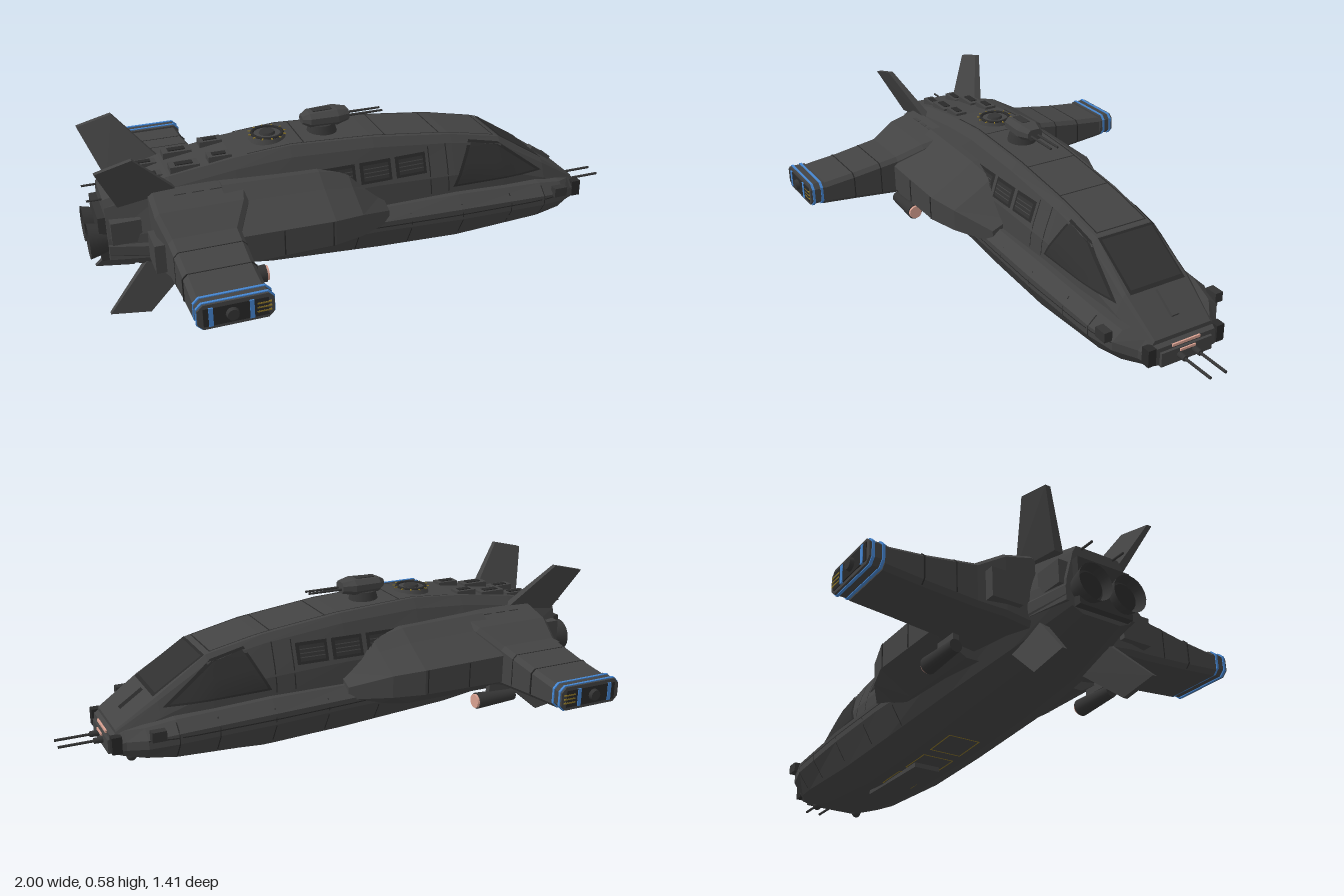
import * as THREE from 'three';

const mat = (name, color, side = THREE.FrontSide) => {
  const m = new THREE.MeshStandardMaterial({ color, side });
  m.name = name;
  return m;
};

export function createModel() {
  const ship = new THREE.Group();
  ship.name = 'gunship';
  const hullGrey = mat('hull grey', 0x434343);
  const trim = mat('dark trim', 0x292929, THREE.DoubleSide);
  const glass = mat('smoked glass', 0x303030, THREE.DoubleSide);
  const blue = mat('blue stripe', 0x4585d0, THREE.DoubleSide);
  const salmon = mat('salmon lamp', 0xd8a090);
  const yellow = mat('yellow marking', 0x8a7428, THREE.DoubleSide);
  const metal = mat('gun metal', 0x343434, THREE.DoubleSide);

  const add = (name, geo, m) => {
    const mesh = new THREE.Mesh(geo, m);
    mesh.name = name;
    ship.add(mesh);
  };
  // Copy a geometry to the other side of z = 0, keeping the faces outward
  const mirrored = (geo) => {
    const g = geo.index ? geo.toNonIndexed() : geo.clone();
    for (const key of ['position', 'normal']) {
      const a = g.attributes[key];
      for (let i = 0; i < a.count; i += 3) {
        const v = [0, 2, 1].map((k) => [a.getX(i + k), a.getY(i + k), -a.getZ(i + k)]);
        v.forEach((p, k) => a.setXYZ(i + k, ...p));
      }
    }
    return g;
  };
  const pair = (name, geo, m) => {
    add('left ' + name, geo, m);
    add('right ' + name, mirrored(geo), m);
  };
  // Faceted skin over rings of [x, y, z], capped at both ends
  const skin = (rings) => {
    const pos = [], n = rings[0].length;
    const tri = (...p) => p.forEach((v) => pos.push(...v));
    for (let i = 0; i < rings.length - 1; i++) for (let j = 0; j < n; j++) {
      const k = (j + 1) % n, r = rings[i], s = rings[i + 1];
      tri(r[j], s[j], s[k]);
      tri(r[j], s[k], r[k]);
    }
    const first = rings[0], last = rings[rings.length - 1];
    for (let j = 1; j < n - 1; j++) {
      tri(first[0], first[j], first[j + 1]);
      tri(last[0], last[j + 1], last[j]);
    }
    const g = new THREE.BufferGeometry();
    g.setAttribute('position', new THREE.Float32BufferAttribute(pos, 3));
    g.computeVertexNormals();
    return g;
  };
  const box = (w, h, d, x, y, z) => new THREE.BoxGeometry(w, h, d).translate(x, y, z);
  const tubeX = (r0, r1, x0, x1, y, z, open = false, sides = 20) =>
    new THREE.CylinderGeometry(r1, r0, x1 - x0, sides, 1, open).rotateZ(-Math.PI / 2).translate((x0 + x1) / 2, y, z);

  // Body stations and their half cross-sections as [z, y]
  const hullRows = [[-0.94, .17, .07, .13, .22, .28], [-0.7, .105, .09, .19, .2, .28], [-0.4, .075, .1, .225, .18, .24],
    [0, .045, .1, .24, .18, .25], [.3, .035, .1, .245, .17, .25], [.64, .06, .1, .235, .16, .232],
    [.74, .08, .1, .21, .15, .212], [.8, .09, .09, .155, .135, .195], [.84, .11, .08, .14, .13, .175]];
  const hullHalf = ([, yb, wb, w, ym, yt]) => [[wb, yb], [wb + (w - wb) * .65, yb + (ym - yb) * .35],
    [w, ym], [w, ym + (yt - ym) * .5], [w * .82, yt]];
  const cabinRows = [[-0.94, .2, .13, .4, .08], [-0.72, .2, .18, .455, .095], [-0.5, .22, .19, .487, .1],
    [-0.3, .22, .19, .503, .105], [0, .23, .185, .488, .11], [.3, .23, .18, .452, .11],
    [.5, .22, .175, .41, .107], [.68, .19, .16, .295, .12], [.825, .15, .13, .197, .11]];
  const cabinHalf = ([, yb, wb, yt, wt]) => {
    const d = wb - wt, h = yt - yb;
    return [[wb, yb], [wt + .88 * d, yb + .38 * h], [wt + .3 * d, yb + .88 * h], [wt, yt]];
  };
  const body = (rows, half) => skin(rows.map((r) => {
    const h = half(r);
    return [...h.map(([z, y]) => [r[0], y, z]), ...h.reverse().map(([z, y]) => [r[0], y, -z])];
  }));
  add('lower hull', body(hullRows, hullHalf), hullGrey);
  add('cabin', body(cabinRows, cabinHalf), hullGrey);

  const rowAt = (rows, x) => {
    let i = 0;
    while (i < rows.length - 2 && rows[i + 1][0] < x) i++;
    const t = (x - rows[i][0]) / (rows[i + 1][0] - rows[i][0]);
    return rows[i].map((v, k) => v + (rows[i + 1][k] - v) * t);
  };
  const sideZ = (rows, half, x, y) => {
    const h = half(rowAt(rows, x));
    let i = 0;
    while (i < h.length - 2 && h[i + 1][1] < y) i++;
    const t = (y - h[i][1]) / (h[i + 1][1] - h[i][1]);
    return h[i][0] + (h[i + 1][0] - h[i][0]) * t;
  };
  const onCabin = (x, y) => sideZ(cabinRows, cabinHalf, x, y);
  const onHull = (x, y) => sideZ(hullRows, hullHalf, x, y);
  const roofY = (x) => rowAt(cabinRows, x)[3];
  const bellyY = (x) => rowAt(hullRows, x)[1];

  // Thin plate with corners [x, y], in order round, laid on a side of the body
  const sidePlate = (name, c, m, on, lift) => {
    const g = new THREE.PlaneGeometry(1, 1, 12, 4), p = g.attributes.position;
    for (let i = 0; i < p.count; i++) {
      const u = p.getX(i) + .5, v = p.getY(i) + .5;
      const [x, y] = [0, 1].map((k) => (c[0][k] * (1 - u) + c[1][k] * u) * (1 - v) + (c[3][k] * (1 - u) + c[2][k] * u) * v);
      p.setXYZ(i, x, y, on(x, y) + lift);
    }
    g.computeVertexNormals();
    pair(name, g, m);
  };
  const rect = (x0, x1, y0, y1) => [[x0, y0], [x1, y0], [x1, y1], [x0, y1]];
  // Thin plate laid along the roof or belly
  const deckPlate = (name, x0, x1, z, w, m, yAt, lift) => {
    const g = new THREE.PlaneGeometry(x1 - x0, w, 12, 1).rotateX(-Math.PI / 2).translate((x0 + x1) / 2, 0, z);
    const p = g.attributes.position;
    for (let i = 0; i < p.count; i++) p.setY(i, yAt(p.getX(i)) + lift);
    g.computeVertexNormals();
    add(name, g, m);
  };

  // Glazing
  deckPlate('windshield frame', .505, .69, 0, .216, trim, roofY, .003);
  deckPlate('windshield', .515, .68, 0, .2, glass, roofY, .006);
  sidePlate('canopy window frame', [[.29, .272], [.67, .262], [.49, .398], [.37, .425]], trim, onCabin, .003);
  sidePlate('canopy window', [[.305, .28], [.645, .27], [.482, .39], [.378, .417]], glass, onCabin, .006);
  for (let i = 0; i < 3; i++) {
    const x = -.2 + i * .135;
    sidePlate('side window frame', rect(x, x + .118, .342, .415), trim, onCabin, .003);
    sidePlate('side window', rect(x + .012, x + .106, .352, .405), glass, onCabin, .006);
    for (let k = 1; k < 4; k++) sidePlate('window bar', rect(x + .012, x + .106, .351 + k * .0135, .354 + k * .0135), hullGrey, onCabin, .008);
  }
  // Panel seams
  for (const x of [.2, .27]) sidePlate('cabin seam', rect(x, x + .004, .26, .43), trim, onCabin, .002);
  for (const x of [-.1, .1, .3, .5, .64]) sidePlate('hull seam', rect(x, x + .004, .1, .225), trim, onHull, .002);
  sidePlate('gunwale seam', [[-.2, .2], [.74, .178], [.74, .182], [-.2, .204]], trim, onHull, .003);
  for (const x of [-.25, .05, .26, .48]) deckPlate('roof seam', x, x + .005, 0, .2, trim, roofY, .002);
  for (const s of [1, -1]) deckPlate('roof rail', -.45, .48, s * .098, .005, trim, roofY, .003);
  add('belly keel', box(.34, .02, .1, .22, .036, 0), hullGrey);
  for (const x of [-.2, -.03, .14]) for (const s of [1, -1]) {
    deckPlate('belly marking', x, x + .13, s * .06, .005, yellow, bellyY, -.003);
    deckPlate('belly marking end', x + (s > 0 ? 0 : .125), x + (s > 0 ? .005 : .13), 0, .12, yellow, bellyY, -.003);
  }

  // Side sponsons
  const sponson = [[-.56, .345, .15, .43, .22, .32], [-.22, .345, .15, .42, .225, .315], [-.11, .31, .155, .39, .22, .3], [.02, .225, .17, .3, .205, .25]];
  pair('sponson', skin(sponson.map(([x, w, yb, yt, y0, y1]) =>
    [[.1, yb], [w * .66, yb], [w, y0], [w, y1], [w * .67, y1 + (yt - y1) * .62], [w * .5, yt], [.1, yt]].map(([z, y]) => [x, y, z]))), hullGrey);
  for (const x of [-.4, -.23]) pair('sponson seam', box(.004, .09, .003, x, .27, .346), trim);

  // Wings and tip pods
  const slab = (x0, x1, y0, y1, z, c) => [[x0, y0 + c], [x0, y1 - c], [x0 + c, y1], [x1 - c, y1],
    [x1, y1 - c], [x1, y0 + c], [x1 - c, y0], [x0 + c, y0]].map(([x, y]) => [x, y, z]);
  pair('wing', skin([[-.8, -.46, .17, .43, .13], [-.8, -.49, .185, .4, .24], [-.78, -.54, .2, .35, .33],
    [-.775, -.545, .215, .325, .5], [-.775, -.545, .228, .31, .64]].map((r) => slab(...r, .015))), hullGrey);
  pair('wing root fairing', box(.06, .1, .11, -.79, .27, .25), hullGrey);
  for (const z of [.4, .51]) pair('wing seam', skin([z, z + .004].map((q) => slab(-.779, -.541, .208 + (z - .4) * .1, .34 - (z - .4) * .14, q, .015))), trim);
  const pod = (z0, z1, e) => skin([z0, z1].map((z) => slab(-.775 - e, -.54 + e, .235 - e, .318 + e, z, .018)));
  pair('wing tip pod', pod(.63, .69, 0), hullGrey);
  for (const z of [.641, .674]) pair('wing tip stripe', pod(z, z + .009, .003), blue);
  pair('tip face', box(.2, .06, .006, -.658, .276, .69), trim);
  for (const x of [-.735, -.61]) pair('tip blue bar', box(.014, .062, .006, x, .276, .692), blue);
  for (const y of [.262, .276, .29]) pair('tip yellow dash', box(.045, .005, .004, -.572, y, .692), yellow);
  pair('tip sensor', new THREE.CylinderGeometry(.018, .022, .018, 12).rotateX(Math.PI / 2).translate(-.67, .276, .697), metal);

  // Underwing lamp pods
  pair('lamp pod', tubeX(.022, .03, -.62, -.46, .145, .305), metal);
  pair('lamp', tubeX(.026, .025, -.46, -.452, .145, .305), salmon);
  pair('lamp pylon', box(.09, .06, .022, -.56, .19, .295), hullGrey);

  // Tail fins
  const fin = (rings) => skin(rings.map(([x0, y0, x1, y1, z, t]) => [[x0, y0, z - t], [x1, y1, z - t], [x1, y1, z + t], [x0, y0, z + t]]));
  pair('upper tail fin', fin([[-.9, .39, -.7, .42, .115, .016], [-.97, .555, -.85, .585, .2, .009]]), hullGrey);
  pair('lower tail fin', fin([[-.965, .02, -.83, 0, .167, .008], [-.82, .18, -.66, .15, .125, .014]]), hullGrey);

  // Engines
  add('engine block', box(.05, .16, .2, -.94, .265, 0), metal);
  pair('engine nozzle', tubeX(.062, .045, -1, -.93, .25, .065, true), metal);
  pair('engine core', tubeX(.045, .045, -.972, -.93, .25, .065), trim);
  pair('tail antenna', tubeX(.004, .004, -.99, -.88, .395, .06, false, 8), metal);
  pair('engine cowl', box(.1, .08, .05, -.88, .3, .12), hullGrey);

  // Rear deck equipment
  for (const [x, w, z, d] of [[-.66, .1, .06, .05], [-.54, .08, .065, .045], [-.78, .09, .05, .04]]) {
    pair('deck hatch', box(w, .026, d, x, roofY(x) + .002, z), hullGrey);
    pair('hatch grille', box(w * .6, .004, d * .5, x, roofY(x) + .016, z), trim);
  }
  for (const x of [-.7, -.64, -.58]) pair('shoulder vent', box(.04, .035, .05, x, .405, .145), hullGrey);

  // Roof hatch ring
  add('hatch base', new THREE.CylinderGeometry(.06, .066, .02, 28).translate(-.35, .505, 0), hullGrey);
  add('hatch ring', new THREE.TorusGeometry(.053, .006, 8, 28).rotateX(Math.PI / 2).translate(-.35, .516, 0), trim);
  add('hatch cap', new THREE.CylinderGeometry(.025, .03, .01, 20).translate(-.35, .518, 0), metal);
  for (let i = 0; i < 12; i++) add('hatch mark', box(.012, .003, .004, .062, .517, 0).rotateY(i * Math.PI / 6).translate(-.35, 0, 0), yellow);

  // Roof turret
  add('turret pedestal', new THREE.CylinderGeometry(.045, .055, .035, 20).translate(-.15, .508, 0), metal);
  add('turret', skin([[-.225, .02, .014], [-.2, .042, .025], [-.1, .048, .028], [-.055, .03, .02]].map(([x, w, h]) =>
    [[w * .6, -h], [w, -h * .4], [w, h * .4], [w * .6, h], [-w * .6, h], [-w, h * .4], [-w, -h * .4], [-w * .6, -h]].map(([z, y]) => [x, .547 + y, z]))), hullGrey);
  add('turret plate', box(.07, .003, .03, -.15, .575, 0), metal);
  pair('turret barrel', tubeX(.005, .004, -.07, .075, .542, .014, false, 8), metal);

  // Nose
  add('nose block', box(.03, .05, .2, .835, .135, 0), hullGrey);
  add('upper lamp strip', box(.006, .009, .11, .842, .172, 0), salmon);
  add('lower lamp strip', box(.006, .008, .06, .852, .153, 0), salmon);
  pair('nose bracket', box(.035, .06, .03, .83, .155, .135), trim);
  pair('nose gun sleeve', tubeX(.012, .01, .83, .88, .135, .03, false, 12), metal);
  pair('nose gun', tubeX(.005, .005, .86, 1, .135, .03, false, 8), metal);
  pair('bow thruster', box(.05, .035, .03, .71, .2, .222), metal);
  pair('chin lamp', new THREE.SphereGeometry(.018, 12, 8).translate(.77, .085, .09), metal);
  add('nose spine', box(.1, .02, .03, 0, 0, 0).rotateZ(-.59).translate(.74, .258, 0), hullGrey);
  return ship;
}
